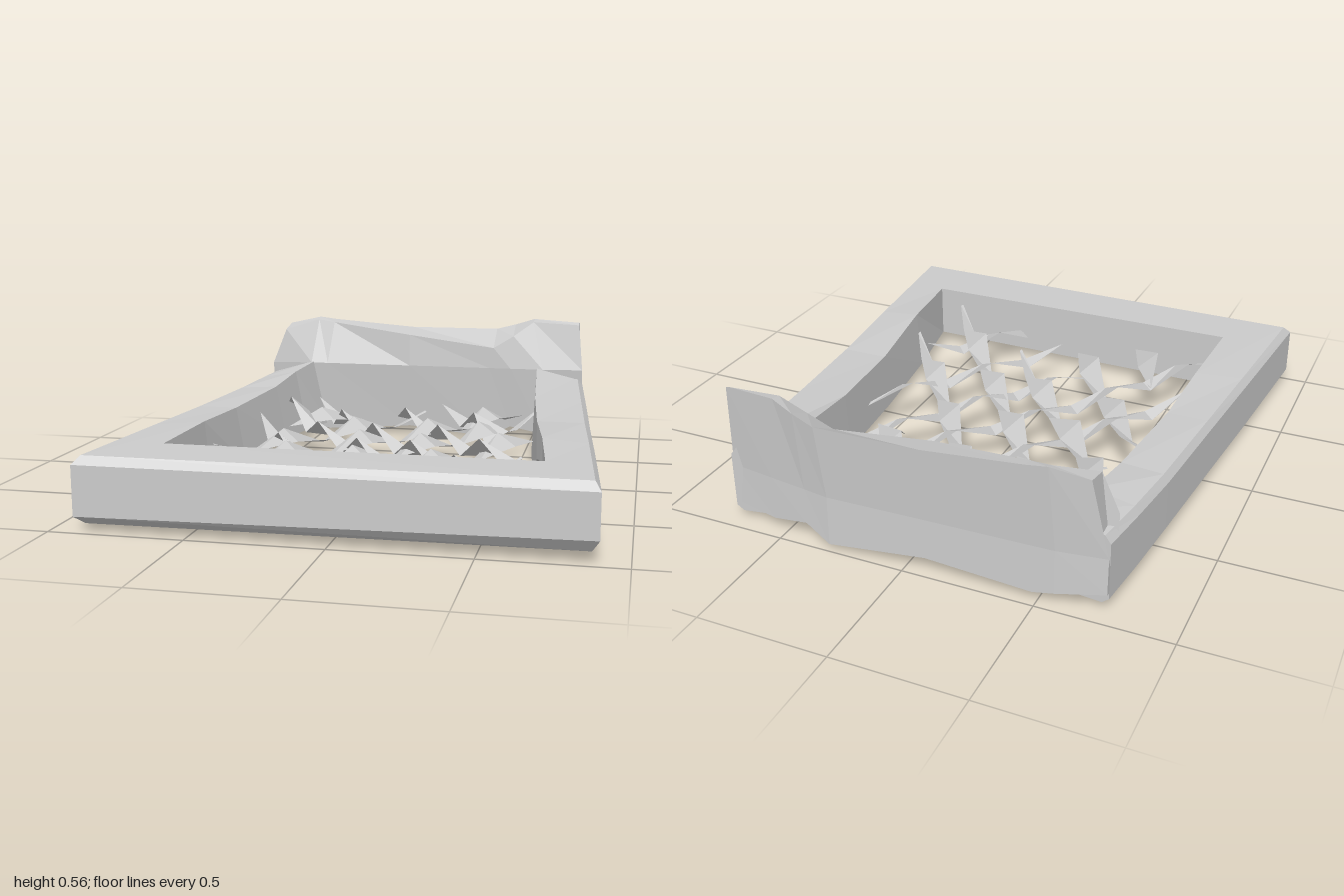
import * as THREE from 'three';

const grey = new THREE.MeshStandardMaterial({ color: 0xcccccc, flatShading: true });
const thin = new THREE.MeshStandardMaterial({ color: 0xcccccc, flatShading: true, side: THREE.DoubleSide });

function makeGeometry(pos, idx) {
  const g = new THREE.BufferGeometry();
  g.setAttribute('position', new THREE.Float32BufferAttribute(pos, 3));
  g.setIndex(idx);
  g.computeVertexNormals();
  return g;
}

// Skin a row of closed rings (arrays of [x, y, z]) and cap both ends.
function loft(rings) {
  const n = rings[0].length, pos = rings.flat(2), idx = [];
  for (let i = 0; i < rings.length - 1; i++) {
    for (let j = 0; j < n; j++) {
      const k = (j + 1) % n, a = i * n + j, b = i * n + k;
      idx.push(a, b, a + n, b, b + n, a + n);
    }
  }
  const last = (rings.length - 1) * n;
  for (let j = 1; j < n - 1; j++) {
    idx.push(0, j + 1, j, last, last + j, last + j + 1);
  }
  // Turn the faces outward if the enclosed volume is negative.
  const v = i => new THREE.Vector3().fromArray(pos, i * 3);
  let volume = 0;
  for (let i = 0; i < idx.length; i += 3) volume += v(idx[i]).dot(v(idx[i + 1]).cross(v(idx[i + 2])));
  if (volume < 0) idx.reverse();
  return makeGeometry(pos, idx);
}

function addMesh(parent, name, geometry, material = grey) {
  const mesh = new THREE.Mesh(geometry, material);
  mesh.name = name;
  parent.add(mesh);
}

// Bevelled rail section between an inner and an outer ground point.
function railRing([xi, zi, xo, zo, topIn, topOut, low, lowOut, lean]) {
  const at = (t, y) => [xi + (xo - xi) * t, y, zi + (zo - zi) * t];
  return [
    at(-lean, low + 0.01), at(0.87, low), at(1, lowOut),
    at(1, topOut - 0.03), at(0.89, topOut), at(0, topIn),
  ];
}

// Twisted ribbon along [x, y, z] points, alternately wide and narrow, with given end half widths.
function ribbon(start, end, points, phase, roll, width) {
  const curve = new THREE.CatmullRomCurve3(points.map(p => new THREE.Vector3(...p)));
  const steps = Math.max(2, Math.round(curve.getLength() / 0.18));
  const pos = [], idx = [];
  for (let i = 0; i <= steps; i++) {
    const p = curve.getPointAt(i / steps), t = curve.getTangentAt(i / steps);
    const even = (i + phase) % 2 === 0;
    const half = i === 0 ? start : i === steps ? end : even ? width : width * 0.55;
    const y = p.y + (even ? 0.025 : -0.025);
    const tilt = even ? roll : -roll * 0.7;
    const across = half * Math.cos(tilt), rise = half * Math.sin(tilt);
    for (const s of [-1, 1]) pos.push(p.x - t.z * across * s, y + rise * s, p.z + t.x * across * s);
    if (i < steps) idx.push(2 * i, 2 * i + 1, 2 * i + 2, 2 * i + 1, 2 * i + 3, 2 * i + 2);
  }
  return makeGeometry(pos, idx);
}

export function createModel() {
  const model = new THREE.Group();
  model.name = 'latticedFrame';

  // Side rails and front rail as one U with mitred corners:
  // inner x, z, outer x, z, inner top, outer top, bottom, outer low edge, lean of the inner face
  const rails = [
    [-0.54, -0.91, -0.74, -0.92, 0.35, 0.3, 0.03, 0.05, 0.25],
    [-0.59, -0.7, -0.765, -0.7, 0.32, 0.29, 0.035, 0.05, 0.3],
    [-0.61, -0.45, -0.79, -0.45, 0.29, 0.28, 0.04, 0.055, 0.25],
    [-0.645, 0, -0.825, 0, 0.275, 0.275, 0.03, 0.05, 0.22],
    [-0.655, 0.35, -0.86, 0.4, 0.285, 0.275, 0.035, 0.05, 0.1],
    [-0.665, 0.74, -0.91, 0.985, 0.28, 0.275, 0.03, 0.06, 0],
    [0.7, 0.735, 0.9, 1, 0.28, 0.28, 0.045, 0.09, 0],
    [0.66, 0.4, 0.85, 0.4, 0.29, 0.275, 0.04, 0.05, 0.1],
    [0.605, 0, 0.815, 0, 0.27, 0.27, 0.03, 0.045, 0.05],
    [0.56, -0.4, 0.78, -0.4, 0.29, 0.28, 0.04, 0.05, 0.05],
    [0.52, -0.91, 0.73, -0.93, 0.35, 0.3, 0.03, 0.05, 0.05],
  ];
  addMesh(model, 'frameRails', loft(rails.map(railRing)));

  // Uneven back board: x at foot, x at top, front z, front top z, back z, bottom, front top, back top
  const board = [
    [-0.74, -0.68, -0.84, -0.86, -0.955, 0.06, 0.5, 0.52],
    [-0.56, -0.54, -0.87, -0.95, -0.98, 0.03, 0.54, 0.55],
    [-0.48, -0.46, -0.87, -0.935, -0.982, 0.015, 0.53, 0.54],
    [-0.08, -0.08, -0.87, -0.88, -0.99, 0.045, 0.485, 0.51],
    [0.3, 0.32, -0.87, -0.87, -1, 0.005, 0.435, 0.51],
    [0.4, 0.41, -0.87, -0.89, -0.985, 0.06, 0.49, 0.535],
    [0.55, 0.5, -0.87, -0.92, -0.965, 0.03, 0.555, 0.565],
    [0.73, 0.71, -0.89, -0.92, -0.94, 0.05, 0.545, 0.555],
  ];
  addMesh(model, 'backBoard', loft(board.map(([xf, xt, zf, zt, zb, low, topF, topB]) => [
    [xf, low, zf - 0.03], [xf, 0.34, zf], [xt, topF, zt],
    [xt, topB, zb], [xf, 0.22, zb + 0.02], [xf, low + 0.02, zb + 0.015],
  ])));

  // Diagonal lattice inside the frame: start and end half widths, then the path
  const lattice = new THREE.Group();
  lattice.name = 'lattice';
  model.add(lattice);
  const tip = 0.006;
  const falling = [
    [tip, tip, [[-0.6, 0.19, -0.2], [-0.4, 0.15, 0.1], [-0.22, 0.15, 0.35], [-0.05, 0.17, 0.6]]],
    [tip, tip, [[-0.58, 0.23, -0.57], [-0.35, 0.16, -0.2], [-0.1, 0.15, 0.1], [0.17, 0.16, 0.45]]],
    [0.06, tip, [[-0.45, 0.13, -0.78], [-0.28, 0.14, -0.48], [-0.02, 0.15, -0.1], [0.2, 0.15, 0.2], [0.6, 0.19, 0.74]]],
    [tip, tip, [[-0.08, 0.17, -0.62], [0.1, 0.15, -0.35], [0.3, 0.15, -0.05], [0.65, 0.18, 0.4]]],
    [tip, 0.06, [[0.11, 0.16, -0.72], [0.27, 0.15, -0.55], [0.41, 0.15, -0.31]]],
    [tip, 0.05, [[-0.44, 0.16, 0.43], [-0.32, 0.16, 0.73]]],
  ];
  const rising = [
    [tip, tip, [[-0.23, 0.15, -0.6], [-0.32, 0.15, -0.5], [-0.5, 0.17, -0.28]]],
    [tip, tip, [[0.05, 0.15, -0.6], [-0.1, 0.15, -0.4], [-0.38, 0.15, 0], [-0.62, 0.17, 0.35]]],
    [0.05, tip, [[0.43, 0.15, -0.79], [0.3, 0.15, -0.55], [0.1, 0.15, -0.25], [-0.15, 0.15, 0.05], [-0.64, 0.17, 0.74]]],
    [tip, tip, [[0.55, 0.17, -0.6], [0.4, 0.15, -0.35], [0.2, 0.15, -0.05], [-0.16, 0.15, 0.42]]],
    [tip, tip, [[0.58, 0.17, -0.2], [0.4, 0.15, 0.1], [0.25, 0.15, 0.3], [0.03, 0.15, 0.6]]],
    [tip, 0.03, [[0.58, 0.17, 0.33], [0.42, 0.15, 0.5], [0.27, 0.15, 0.73]]],
  ];
  falling.forEach((f, i) => addMesh(lattice, 'fallingSlat', ribbon(...f, i % 2, 0.7, 0.055), thin));
  rising.forEach((r, i) => addMesh(lattice, 'risingSlat', ribbon(...r, (i + 1) % 2, 0.45, 0.05), thin));

  return model;
}
